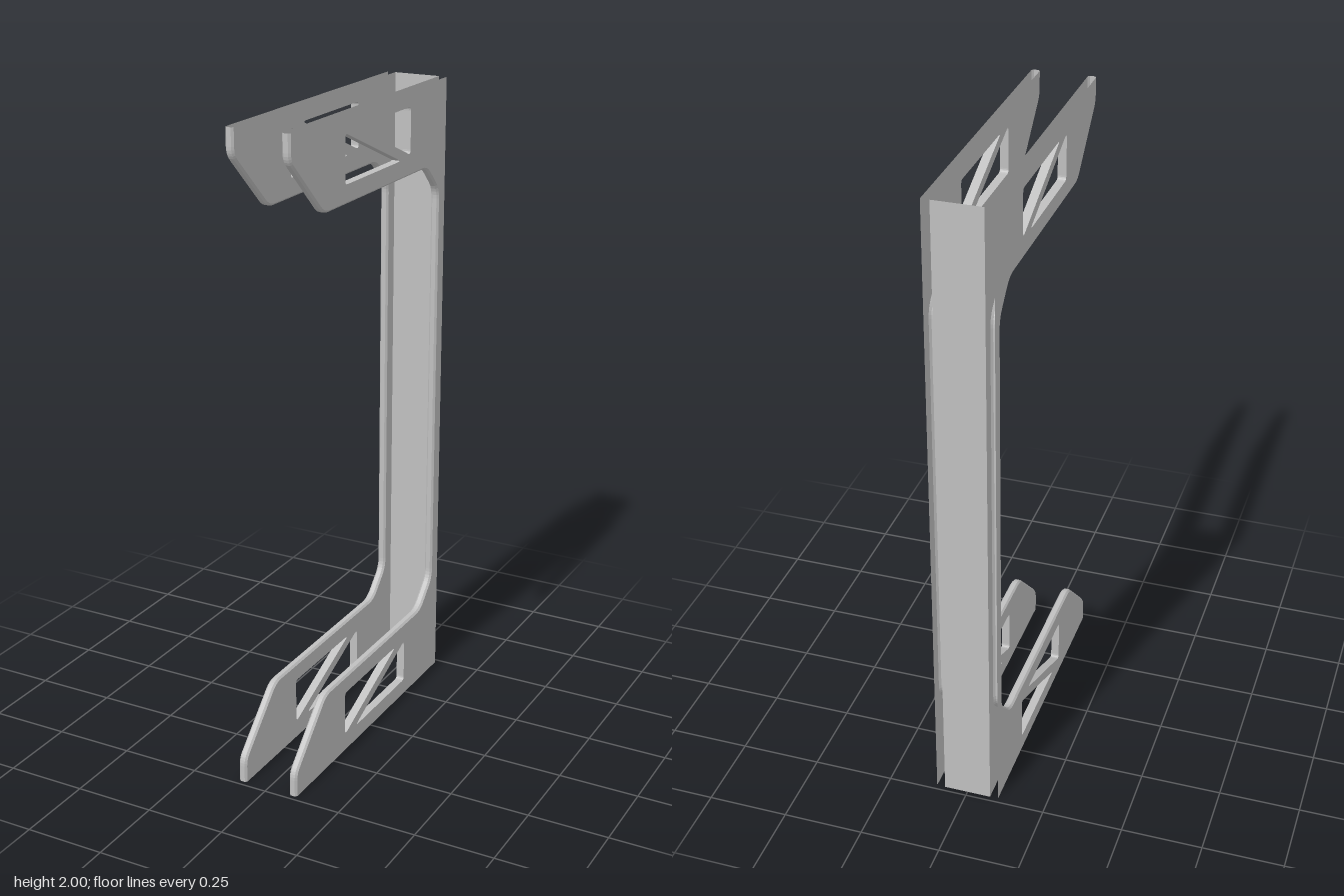
import * as THREE from 'three';
import { mergeGeometries } from 'three/addons/utils/BufferGeometryUtils.js';

const BACK = -0.484, FRONT = 0.484, HEIGHT = 2;
const HALF = 0.013;      // half thickness of a side plate
const OFFSET = 0.087;    // plate centre from the middle
const BEVEL = 0.006;

// Rounds the corners of a [z, y, radius] polyline
function rounded(corners, closed) {
  const out = [], n = corners.length;
  corners.forEach(([z, y, r], i) => {
    const p = new THREE.Vector2(z, y);
    if (!r || (!closed && (i === 0 || i === n - 1))) { out.push(p); return; }
    const toward = (c) => new THREE.Vector2(c[0], c[1]).sub(p).setLength(r).add(p);
    const a = toward(corners[(i + n - 1) % n]), b = toward(corners[(i + 1) % n]);
    out.push(...new THREE.QuadraticBezierCurve(a, p, b).getPoints(5));
  });
  return out;
}

// Moves an open path towards the material on its right-hand side
function inset(path, d) {
  const normal = (a, b) => new THREE.Vector2(b.y - a.y, a.x - b.x).normalize();
  return path.map((p, i) => {
    const n1 = i > 0 ? normal(path[i - 1], p) : normal(p, path[1]);
    const n2 = i < path.length - 1 ? normal(p, path[i + 1]) : n1;
    return n1.clone().add(n2).multiplyScalar(d / (1 + n1.dot(n2))).add(p);
  });
}

// Skins consecutive cross-section rows, each { x, pts }
function skin(rows) {
  const pos = [];
  for (let r = 0; r < rows.length - 1; r++) {
    const A = rows[r], B = rows[r + 1];
    for (let i = 0; i < A.pts.length - 1; i++) {
      const v = (row, k) => [row.x, row.pts[k].y, row.pts[k].x];
      const a = v(A, i), b = v(A, i + 1), c = v(B, i + 1), d = v(B, i);
      pos.push(...a, ...b, ...c, ...a, ...c, ...d);
    }
  }
  const g = new THREE.BufferGeometry();
  g.setAttribute('position', new THREE.Float32BufferAttribute(pos, 3));
  g.computeVertexNormals();
  return g;
}

// Flat side wall with its cut-outs
function wall(outline, holes, x, outward) {
  const shape = new THREE.Shape(outline);
  shape.holes = holes.map((h) => new THREE.Path(h));
  const g = new THREE.ShapeGeometry(shape).rotateY(-Math.PI / 2).translate(x, 0, 0);
  if (outward) g.index.array.reverse();
  g.computeVertexNormals();
  const flat = g.toNonIndexed();
  flat.deleteAttribute('uv');
  return flat;
}

function plateGeometry() {
  // Free edge: upper arm, spine, lower arm
  const upper = [
    [FRONT, HEIGHT, 0], [FRONT, 1.922, 0.025], [0.297, 1.743, 0.03],
    [-0.355, 1.743, 0.03], [-0.439, 1.66, 0.03],
  ];
  const lower = upper.map(([z, y, r]) => [z, HEIGHT - y, r]).reverse();
  const edge = rounded([...upper, ...lower], false);
  const inner = inset(edge, BEVEL);

  // Two triangular cut-outs in each arm
  const triangles = [
    [[0.174, 1.946, 0.016], [0.174, 1.8, 0.013], [-0.175, 1.8, 0.022]],
    [[0.105, 1.95, 0.022], [-0.239, 1.95, 0.013], [-0.239, 1.806, 0.016]],
  ];
  const holes = [];
  for (const t of triangles) {
    for (const c of [t, t.map(([z, y, r]) => [z, HEIGHT - y, r])]) {
      const h = rounded(c, true);
      if (THREE.ShapeUtils.area(h) < 0) h.reverse();
      holes.push(h);
    }
  }

  const outline = [...inner, new THREE.Vector2(BACK, 0), new THREE.Vector2(BACK, HEIGHT)];
  const parts = [
    wall(outline, holes, HALF, true),
    wall(outline, holes, -HALF, false),
    // Bevelled rim
    skin([
      { x: -HALF, pts: inner }, { x: -HALF + BEVEL, pts: edge },
      { x: HALF - BEVEL, pts: edge }, { x: HALF, pts: inner },
    ]),
    // Cut-out walls
    ...holes.map((h) => {
      const loop = [...h, h[0]];
      return skin([{ x: -HALF, pts: loop }, { x: HALF, pts: loop }]);
    }),
  ];
  return mergeGeometries(parts);
}

export function createModel() {
  const group = new THREE.Group();
  group.name = 'bracket';
  const metal = new THREE.MeshStandardMaterial({ color: 0xc0c0c0, side: THREE.DoubleSide });
  metal.name = 'light grey metal';

  // Side plates, open along the top, bottom and back
  const plate = plateGeometry();
  for (const [name, s] of [['leftPlate', 1], ['rightPlate', -1]]) {
    const mesh = new THREE.Mesh(plate, metal);
    mesh.name = name;
    mesh.position.x = s * OFFSET;
    group.add(mesh);
  }

  // Back web between the plates
  const web = new THREE.Mesh(
    new THREE.PlaneGeometry(2 * (OFFSET - HALF), HEIGHT).rotateY(Math.PI), metal);
  web.name = 'backWeb';
  web.position.set(0, HEIGHT / 2, BACK);
  group.add(web);
  return group;
}
